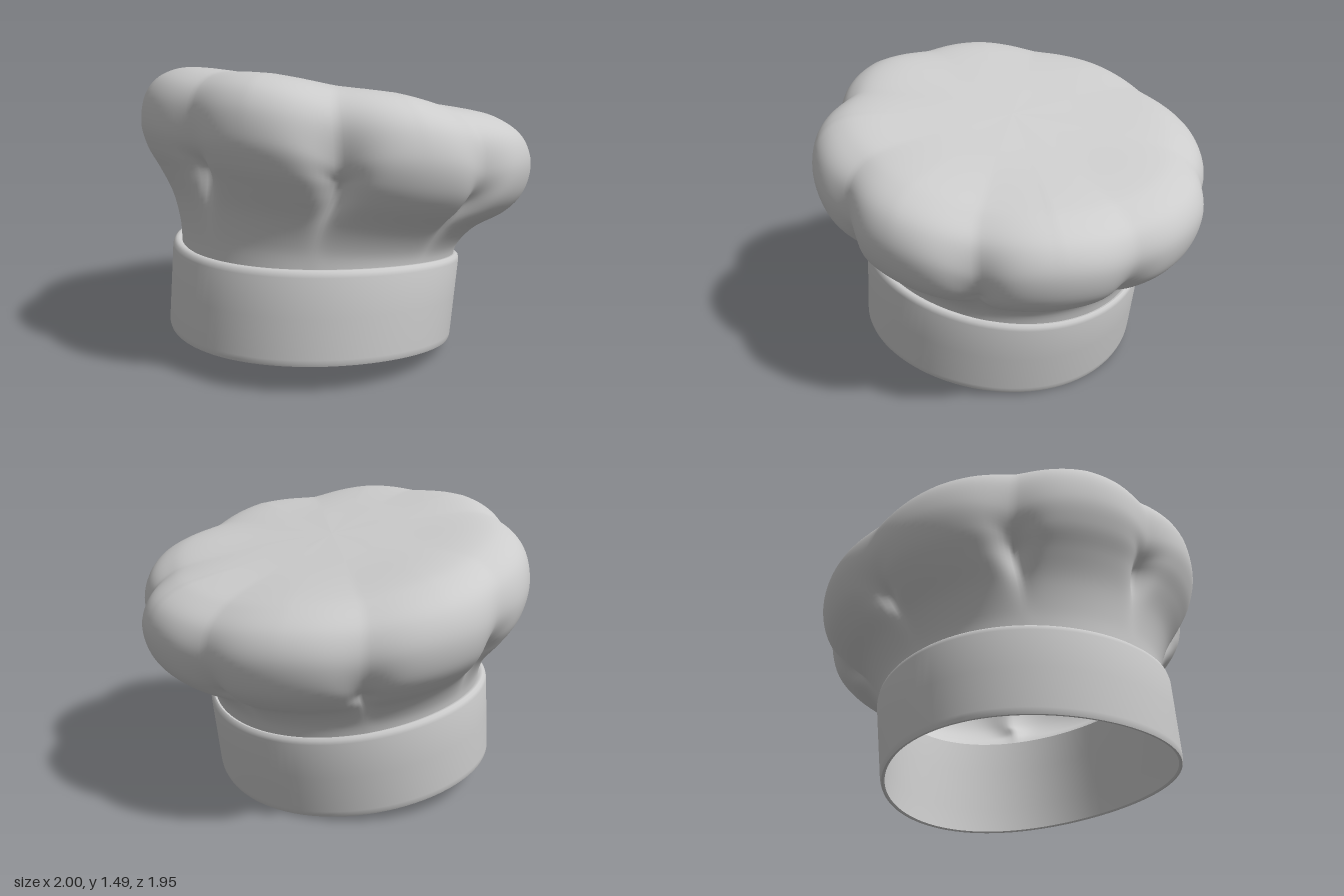
import * as THREE from 'three';
import { toCreasedNormals } from 'three/addons/utils/BufferGeometryUtils.js';

const material = new THREE.MeshStandardMaterial({ color: 0xcccccc, roughness: 0.8 });
const openMaterial = material.clone();
openMaterial.side = THREE.DoubleSide;

// Skin closed rings: point(row, angle) gives [x, y, z]; angle 0 is the front.
function loft(rows, sides, point) {
  const pos = [], index = [];
  for (let r = 0; r < rows; r++)
    for (let s = 0; s < sides; s++) pos.push(...point(r, (s / sides) * Math.PI * 2));
  for (let r = 0; r < rows - 1; r++)
    for (let s = 0; s < sides; s++) {
      const a = r * sides + s, b = r * sides + ((s + 1) % sides);
      index.push(a, b, b + sides, a, b + sides, a + sides);
    }
  const geo = new THREE.BufferGeometry();
  geo.setAttribute('position', new THREE.Float32BufferAttribute(pos, 3));
  geo.setIndex(index);
  geo.computeVertexNormals();
  return geo;
}

function add(group, name, geo, mat) {
  const mesh = new THREE.Mesh(geo, mat);
  mesh.name = name;
  group.add(mesh);
}

// Point on the leaning band: v runs 0 (bottom edge) to 1 (top edge)
function bandPoint(v, inset, a) {
  const mix = (p, q) => p + (q - p) * v, c = Math.cos(a);
  return [
    -0.025 + Math.sin(a) * (mix(0.757, 0.752) - inset),
    mix(0.13, 0.57) + mix(0.07, 0.075) * c - mix(0.05, 0.045) * c * c,
    mix(0.172, 0.115) + c * (mix(0.738, 0.76) - inset),
  ];
}
const bandGeometry = (profile) => toCreasedNormals(
  loft(profile.length, 96, (r, a) => bandPoint(...profile[r], a)), 0.75);

// Rings of the puff: front z, front y, back z, back y, half width, centre x, pleat depth, pleat half angle
const RINGS = [
  [0.83, 0.56, -0.61, 0.42, 0.71, -0.025, 0, 0.06],
  [0.83, 0.7, -0.64, 0.52, 0.725, -0.025, 0, 0.06],
  [0.855, 0.86, -0.72, 0.61, 0.8, -0.015, 0.025, 0.06],
  [0.905, 1.0, -0.85, 0.68, 0.915, 0, 0.09, 0.07],
  [0.96, 1.11, -0.955, 0.78, 0.99, 0, 0.1, 0.09],
  [0.995, 1.23, -1.0, 0.93, 1.02, 0, 0.065, 0.13],
  [0.975, 1.38, -0.96, 1.055, 0.985, 0, 0.04, 0.18],
  [0.89, 1.475, -0.85, 1.135, 0.885, 0, 0.028, 0.22],
  [0.73, 1.5, -0.71, 1.18, 0.73, 0, 0.016, 0.26],
  [0.4, 1.435, -0.38, 1.25, 0.4, 0, 0, 0.26],
  [0, 1.345, 0, 1.345, 0, 0, 0, 0.26],
];
// Upper strength of the eight pleats, from the front round to the model's left
const PLEATS = [0.8, 1.4, 0.95, 1, 0.45, 0.45, 0.4, 0.65];
const STEPS = 6;

// Catmull-Rom blend of all ring values
function ringAt(row) {
  const i = Math.min(Math.floor(row / STEPS), RINGS.length - 2), t = row / STEPS - i;
  const at = (k) => RINGS[Math.min(Math.max(k, 0), RINGS.length - 1)];
  return RINGS[i].map((_, k) => {
    const [p, q, r, s] = [at(i - 1)[k], at(i)[k], at(i + 1)[k], at(i + 2)[k]];
    return q + 0.5 * t * (r - p + t * (2 * p - 5 * q + 4 * r - s + t * (3 * (q - r) + s - p)));
  });
}

function puffPoint(row, a) {
  const [zf, yf, zb, yb, rx, cx, depth, width] = ringAt(row);
  const c = Math.cos(a), pitch = Math.PI / 4, n = Math.round(a / pitch);
  const d = Math.abs(a - n * pitch);
  // pleats are alike near the neck and differ above the bulge
  const upper = THREE.MathUtils.smoothstep(row / STEPS, 3, 5.5);
  const strength = 1 + (PLEATS[n % 8] - 1) * upper;
  // narrow fold plus a broad rounded lobe between folds
  const fold = strength * depth * Math.exp(-((d / width) ** 1.5));
  const lobe = 0.25 * depth * (Math.sin((d / pitch) * Math.PI) - 0.4);
  const k = 1 - fold + lobe;
  return [
    cx + Math.sin(a) * rx * k,
    (yf + yb) / 2 + ((yf - yb) / 2) * c + (lobe - fold) * upper,
    (zf + zb) / 2 + ((zf - zb) / 2) * c * k,
  ];
}

export function createModel() {
  const hat = new THREE.Group();
  hat.name = 'chefHat';

  // Outer band with rounded edges, tucking in to the neck
  add(hat, 'band', bandGeometry([
    [0.0, 0.022], [-0.015, 0.015], [-0.012, 0.006], [0.02, 0.001], [0.06, 0], [0.5, 0],
    [0.93, 0], [0.975, 0.005], [1.0, 0.018], [1.0, 0.032], [0.97, 0.055],
  ]), material);

  // Inside of the band, open to the hollow puff
  add(hat, 'lining', bandGeometry([
    [1.2, 0.06], [0.8, 0.055], [0.3, 0.03], [0.0, 0.022],
  ]), openMaterial);

  // Pleated, billowing crown
  add(hat, 'puff', loft((RINGS.length - 1) * STEPS + 1, 240, puffPoint), openMaterial);

  return hat;
}
